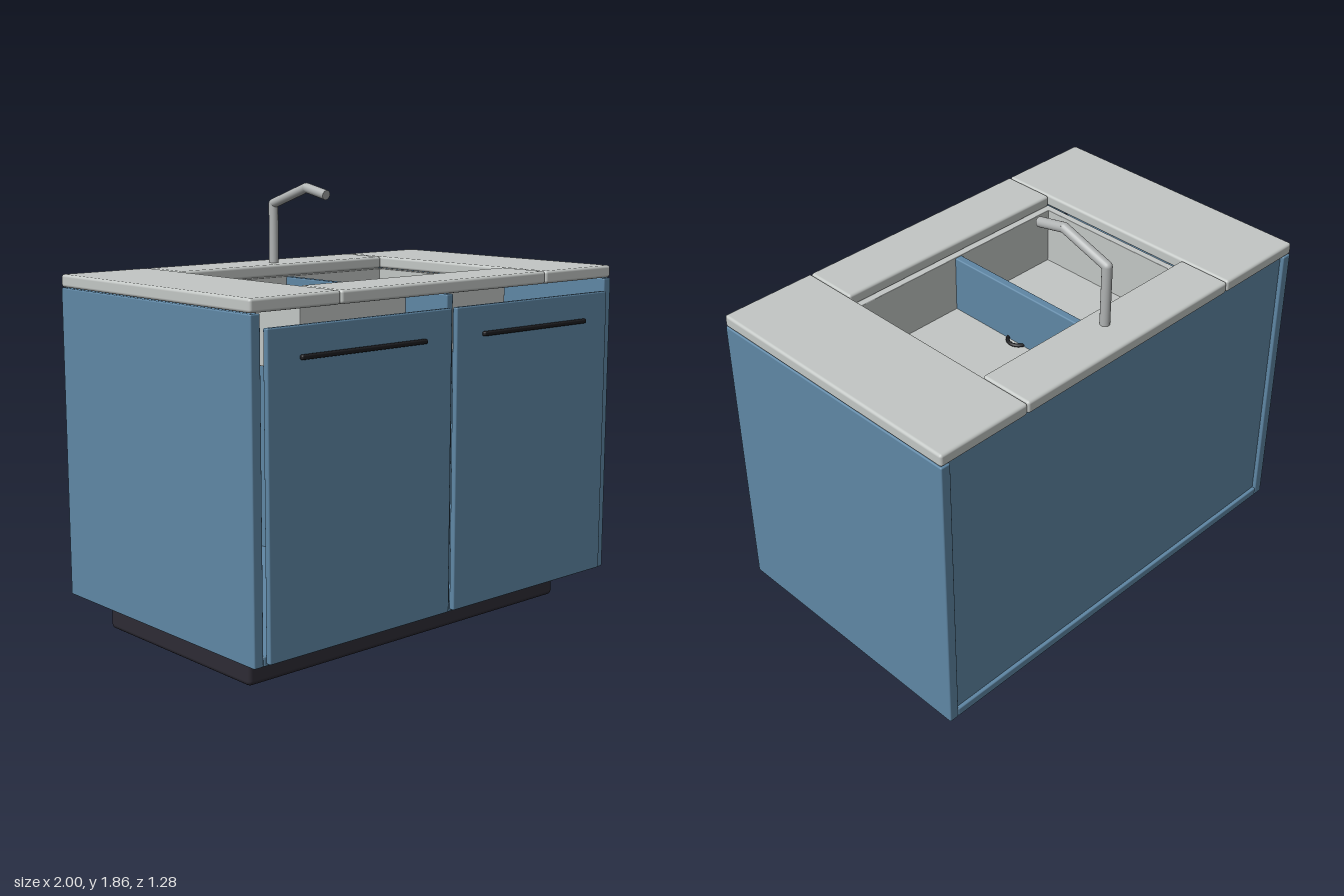
import * as THREE from 'three';
import { RoundedBoxGeometry } from 'three/addons/geometries/RoundedBoxGeometry.js';

const material = (name, color) => {
  const m = new THREE.MeshStandardMaterial({ color });
  m.name = name;
  return m;
};

export function createModel() {
  const model = new THREE.Group();
  model.name = 'sinkCabinet';
  const blue = material('blue paint', 0x5f87a5);
  const stone = material('pale stone', 0xc3c7c5);
  const steel = material('steel', 0xb0b3b3);
  const charcoal = material('charcoal', 0x2d2b34);
  const black = material('black', 0x1c1c1f);

  const add = (name, geometry, mat, parent = model) => {
    const mesh = new THREE.Mesh(geometry, mat);
    mesh.name = name;
    parent.add(mesh);
    return mesh;
  };

  // Softly rounded box given by its limits on each axis
  const block = (name, mat, [x0, x1], [y0, y1], [z0, z1], r = 0.006, parent = model) => {
    const mesh = add(name, new RoundedBoxGeometry(x1 - x0, y1 - y0, z1 - z0, 2, r), mat, parent);
    mesh.position.set((x0 + x1) / 2, (y0 + y1) / 2, (z0 + z1) / 2);
    return mesh;
  };
  const mirrored = (s, a, b) => (s > 0 ? [a, b] : [-b, -a]);

  // Plinth and open-topped carcass
  block('plinth', charcoal, [-0.88, 0.88], [0, 0.15], [-0.53, 0.415], 0.02);
  block('bottomPanel', blue, [-0.956, 0.956], [0.15, 0.19], [-0.64, 0.6]);
  block('backPanel', blue, [-0.956, 0.956], [0.18, 1.45], [-0.625, -0.59]);
  block('middlePanel', blue, [-0.018, 0.018], [0.18, 1.45], [-0.6, 0.598]);

  // Side panels, doors with bar handles, and side worktops
  for (const s of [1, -1]) {
    const side = s > 0 ? 'left' : 'right';
    block(side + 'SidePanel', blue, mirrored(s, 0.955, 1), [0.15, 1.45], [-0.64, 0.6]);
    block(side + 'Door', blue, mirrored(s, 0.013, 0.945), [0.16, 1.398], [0.599, 0.624]);
    block(side + 'Handle', black, mirrored(s, 0.16, 0.795), [1.272, 1.291], [0.618, 0.64], 0.007);
    block(side + 'Worktop', stone, mirrored(s, 0.572, 1), [1.452, 1.505], [-0.64, 0.598], 0.012);
  }

  // Worktop strips behind and in front of the basin
  block('backWorktop', stone, [-0.57, 0.57], [1.452, 1.505], [-0.64, -0.402], 0.012);
  block('frontWorktop', stone, [-0.57, 0.57], [1.452, 1.505], [0.355, 0.598], 0.012);

  // Basin of four walls and a floor
  const basin = new THREE.Group();
  basin.name = 'basin';
  model.add(basin);
  const depth = [1.19, 1.453];
  block('basinFloor', stone, [-0.575, 0.575], [1.17, 1.2], [-0.41, 0.365], 0.003, basin);
  block('basinBack', stone, [-0.575, 0.575], depth, [-0.41, -0.383], 0.003, basin);
  block('basinFront', stone, [-0.575, 0.575], depth, [0.33, 0.365], 0.003, basin);
  for (const s of [1, -1]) {
    block('basinSide', stone, mirrored(s, 0.543, 0.575), depth, [-0.395, 0.345], 0.003, basin);
  }
  const drain = add('drainRing', new THREE.TorusGeometry(0.046, 0.008, 10, 32), black, basin);
  drain.rotation.x = Math.PI / 2;
  drain.position.set(0, 1.204, -0.025);

  // Tap: straight pipes joined by round elbows
  const tap = new THREE.Group();
  tap.name = 'tap';
  model.add(tap);
  const radius = 0.021;
  const path = [[1.49, -0.492], [1.765, -0.492], [1.84, -0.268], [1.812, -0.138]]
    .map(([y, z]) => new THREE.Vector3(0, y, z));
  for (let i = 0; i < path.length - 1; i++) {
    const dir = path[i + 1].clone().sub(path[i]);
    const pipe = add('tapPipe', new THREE.CylinderGeometry(radius, radius, dir.length(), 20), steel, tap);
    pipe.position.copy(path[i]).addScaledVector(dir, 0.5);
    pipe.quaternion.setFromUnitVectors(new THREE.Vector3(0, 1, 0), dir.normalize());
    if (i > 0) {
      add('tapElbow', new THREE.SphereGeometry(radius, 20, 12), steel, tap).position.copy(path[i]);
    }
  }

  return model;
}
